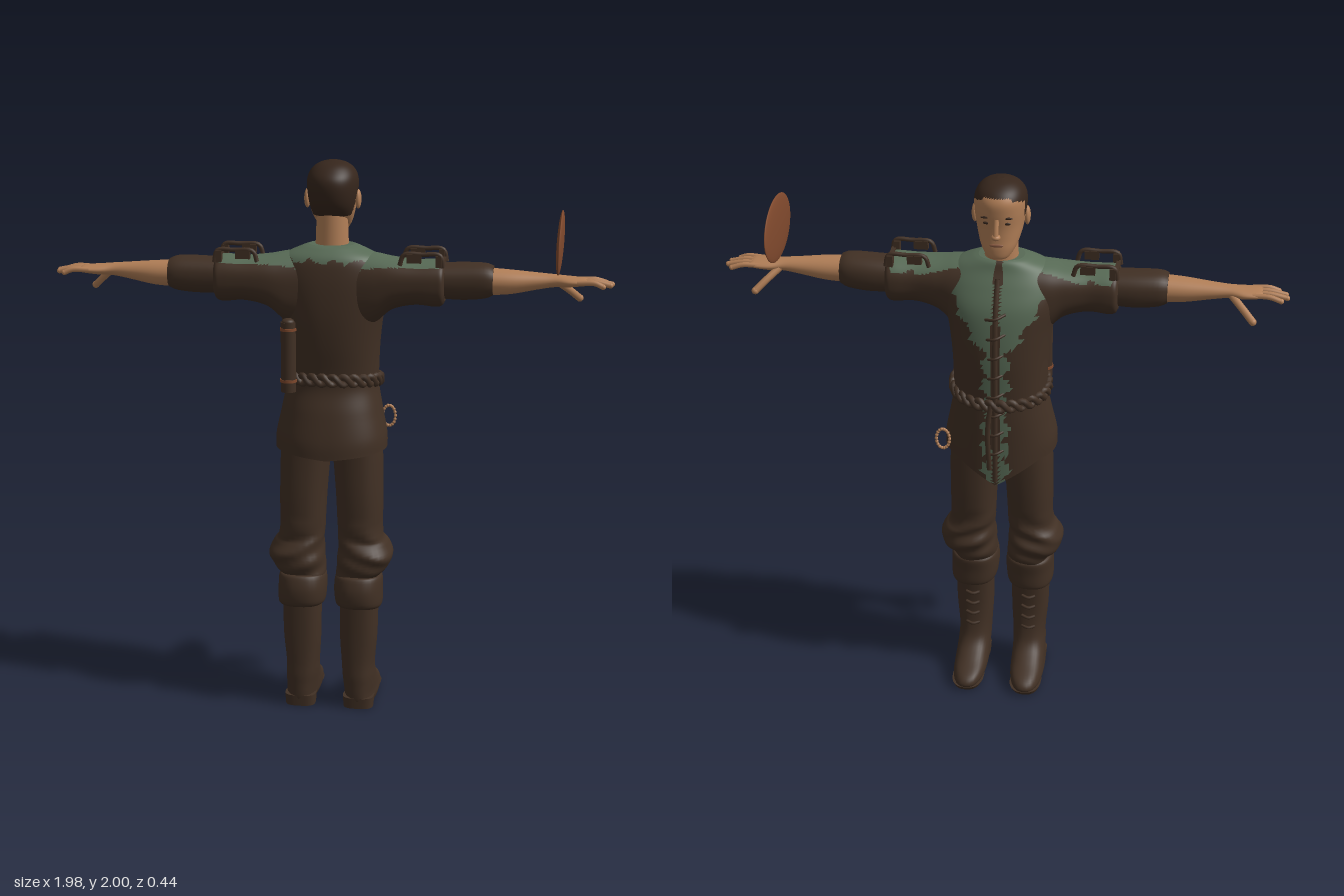
import * as THREE from 'three';

const mat = (name, color) => {
  const m = new THREE.MeshStandardMaterial({ color, side: THREE.DoubleSide });
  m.name = name;
  return m;
};

// Smooth interpolation between neighbouring cross-sections
const spline = (a, b, c, d, t) =>
  b + 0.5 * t * (c - a + t * (2 * a - 5 * b + 4 * c - d + t * (3 * (b - c) + d - a)));

// Skin over rounded sections [t, uMin, uMax, vMin, vMax].
// axis 'y': u = x, v = z.  axis 'x': u = z, v = y.
// warp moves vertices; paint picks a material index from a face centre.
function loft(axis, sections, { seg = 32, sub = 4, power = 2, warp, paint } = {}) {
  const rows = [], n = sections.length;
  for (let k = 0; k < n - 1; k++) {
    const at = (i) => sections[Math.min(n - 1, Math.max(0, i))];
    for (let s = 0; s < sub; s++)
      rows.push(at(k).map((_, i) => spline(at(k - 1)[i], at(k)[i], at(k + 1)[i], at(k + 2)[i], s / sub)));
  }
  rows.push(sections[n - 1]);
  const flat = ([t, a, b, c, d]) => [t, (a + b) / 2, (a + b) / 2, (c + d) / 2, (c + d) / 2];
  const first = rows[0], last = rows[rows.length - 1];
  rows.unshift(flat(first), first);
  rows.push(last, flat(last));

  const pts = [], p = new THREE.Vector3();
  const round = (v) => Math.sign(v) * Math.abs(v) ** (2 / power);
  for (const [t, u0, u1, v0, v1] of rows)
    for (let j = 0; j < seg; j++) {
      const a = (j / seg) * Math.PI * 2;
      const u = (u0 + u1) / 2 + ((u1 - u0) / 2) * round(Math.cos(a));
      const v = (v0 + v1) / 2 + ((v1 - v0) / 2) * round(Math.sin(a));
      if (axis === 'y') p.set(u, t, v); else p.set(t, v, u);
      if (warp) warp(p);
      pts.push(p.x, p.y, p.z);
    }
  const buckets = [[], []];
  for (let k = 0; k < rows.length - 1; k++) {
    if (k === 1 || k === rows.length - 3) continue; // doubled rims keep cap edges sharp
    for (let j = 0; j < seg; j++) {
      const a = k * seg + j, c = k * seg + ((j + 1) % seg), b = a + seg, d = c + seg;
      for (const tri of [[a, b, c], [b, d, c]]) {
        const mid = [0, 1, 2].map((i) => (pts[tri[0] * 3 + i] + pts[tri[1] * 3 + i] + pts[tri[2] * 3 + i]) / 3);
        buckets[paint ? paint(...mid) : 0].push(...tri);
      }
    }
  }
  const g = new THREE.BufferGeometry();
  g.setAttribute('position', new THREE.Float32BufferAttribute(pts, 3));
  g.setIndex([...buckets[0], ...buckets[1]]);
  g.addGroup(0, buckets[0].length, 0);
  g.addGroup(buckets[0].length, buckets[1].length, 1);
  g.computeVertexNormals();
  return g;
}

export function createModel() {
  const model = new THREE.Group();
  model.name = 'tunicFigure';
  const brown = mat('brown leather', 0x413024), green = mat('faded green cloth', 0x586b56);
  const skin = mat('skin', 0xb27f57), hair = mat('dark hair', 0x36261c);
  const copper = mat('copper', 0x80492d), lip = mat('lips', 0x8a5a42);

  const add = (parent, name, geo, material, pos = [0, 0, 0], scale = [1, 1, 1]) => {
    const m = new THREE.Mesh(geo, material);
    m.name = name;
    m.position.set(...pos);
    m.scale.set(...scale);
    parent.add(m);
    return m;
  };
  const tube = (pts, r, closed = false, n = 24) => new THREE.TubeGeometry(
    new THREE.CatmullRomCurve3(pts.map((q) => new THREE.Vector3(...q)), closed), n, r, 8, closed);
  const ball = new THREE.SphereGeometry(1, 24, 16);

  // Tunic body: jagged green yoke and a green strip down the chest (the chest faces -z)
  const jag = (v) => 0.012 * Math.sin(v * 75) + 0.006 * Math.sin(v * 170);
  const tunicPaint = (x, y, z) => {
    if (z > -0.01) return y > 1.662 + jag(x) * 0.6 ? 1 : 0;
    const w = y > 1.6 ? 0.22 : y > 1.42 ? 0.06 + (y - 1.42) * 0.6 : 0.042;
    return Math.abs(x) > 0.012 && Math.abs(x) < w + jag(y) ? 1 : 0;
  };
  add(model, 'tunic', loft('y', [
    [0.96, -0.2, 0.2, -0.165, 0.168], [1.02, -0.198, 0.198, -0.165, 0.163],
    [1.12, -0.18, 0.18, -0.165, 0.14], [1.2, -0.165, 0.165, -0.163, 0.115],
    [1.26, -0.165, 0.165, -0.165, 0.117], [1.36, -0.17, 0.17, -0.168, 0.13],
    [1.46, -0.182, 0.182, -0.163, 0.137], [1.55, -0.2, 0.2, -0.148, 0.135],
    [1.62, -0.2, 0.2, -0.115, 0.127], [1.67, -0.17, 0.17, -0.085, 0.113],
    [1.7, -0.11, 0.11, -0.072, 0.085], [1.71, -0.08, 0.08, -0.062, 0.065],
  ], {
    seg: 96, sub: 6, power: 2.3, paint: tunicPaint,
    warp: (p) => {
      const low = Math.max(0, (1.1 - p.y) / 0.14);
      const front = p.z < -0.08 ? Math.max(0, 1 - Math.abs(p.x) / 0.15) : 0;
      p.y += low * (0.02 * Math.abs(p.x) / 0.2 - 0.08 * front);
    },
  }), [brown, green]);

  // Front lacing
  add(model, 'placket', tube([[0, 1.66, -0.105], [0, 1.55, -0.152], [0, 1.4, -0.17],
    [0, 1.2, -0.168], [0, 1.02, -0.17], [0, 0.9, -0.168]], 0.009), brown);
  for (let i = 0; i < 8; i++) {
    const y = 1.54 - i * 0.075;
    add(model, 'lace', tube([[-0.035, y + 0.012, -0.155], [0, y, -0.178], [0.035, y - 0.012, -0.155]], 0.005, false, 8), brown);
  }

  // Braided belt, dipping to the front
  for (const phase of [0, Math.PI]) {
    const ring = Array.from({ length: 96 }, (_, i) => {
      const a = (i / 96) * Math.PI * 2, w = a * 14 + phase, r = 1 + 0.025 * Math.cos(w);
      return [0.17 * r * Math.cos(a), 1.222 + 0.02 * Math.sin(a) + 0.015 * Math.sin(w), -0.024 + 0.146 * r * Math.sin(a)];
    });
    add(model, 'beltStrand', tube(ring, 0.012, true, 192), brown);
  }
  add(model, 'beltEnd', tube([[0.015, 1.21, -0.175], [0.025, 1.1, -0.178], [0.02, 0.95, -0.172]], 0.009), brown);

  // Tube case on the back with copper bands
  const caseGroup = new THREE.Group();
  caseGroup.name = 'tubeCase';
  caseGroup.position.set(-0.14, 1.32, 0.105);
  model.add(caseGroup);
  add(caseGroup, 'caseBody', new THREE.CylinderGeometry(0.027, 0.027, 0.25, 20), brown);
  add(caseGroup, 'caseCap', ball, brown, [0, 0.125, 0], [0.024, 0.014, 0.024]);
  for (const y of [-0.085, 0.1])
    add(caseGroup, 'caseBand', new THREE.CylinderGeometry(0.03, 0.03, 0.01, 20), copper, [0, y, 0]);

  // Beaded loop at the hip
  const beads = new THREE.Group();
  beads.name = 'beadLoop';
  beads.position.set(0.188, 1.052, -0.155);
  model.add(beads);
  add(beads, 'loopCord', new THREE.TorusGeometry(0.036, 0.005, 8, 32), skin, [0, 0, 0], [0.65, 1.05, 1]);
  for (let i = 0; i < 18; i++) {
    const a = (i / 18) * Math.PI * 2;
    add(beads, 'bead', ball, skin, [0.0235 * Math.cos(a), 0.038 * Math.sin(a), 0], [0.006, 0.006, 0.006]);
  }

  // Lens-shaped disc above the left hand
  const disc = add(model, 'disc', new THREE.SphereGeometry(1, 48, 24), copper, [0.798, 1.738, 0.04], [0.012, 0.11, 0.18]);
  disc.rotation.z = -0.04;

  // Head with painted hairline
  const isHair = (x, y, z) => {
    if (y > 1.958) return 1;
    if (z > -0.035) return y > 1.81 && !(z < 0.0 && y < 1.875) ? 1 : 0;
    return y > 1.925 - (z + 0.035) * 0.3 && z > -0.11 || (z > -0.058 && y > 1.88) ? 1 : 0;
  };
  add(model, 'head', loft('y', [
    [1.735, -0.022, 0.022, -0.11, -0.07], [1.745, -0.04, 0.04, -0.126, -0.045],
    [1.775, -0.06, 0.06, -0.13, 0.0], [1.81, -0.073, 0.073, -0.128, 0.045],
    [1.85, -0.082, 0.082, -0.128, 0.077], [1.9, -0.089, 0.089, -0.133, 0.09],
    [1.94, -0.088, 0.088, -0.132, 0.086], [1.97, -0.074, 0.074, -0.113, 0.062],
    [1.99, -0.048, 0.048, -0.08, 0.03], [2.0, -0.012, 0.012, -0.04, -0.012],
  ], { seg: 64, sub: 6, power: 2.15, paint: isHair }), [skin, hair]);
  add(model, 'neck', new THREE.CylinderGeometry(0.054, 0.06, 0.16, 32), skin, [0, 1.75, -0.005]);
  add(model, 'noseBridge', tube([[0, 1.888, -0.128], [0, 1.855, -0.14], [0, 1.832, -0.147]], 0.009), skin);
  add(model, 'noseTip', ball, skin, [0, 1.829, -0.142], [0.016, 0.011, 0.016]);
  add(model, 'mouth', ball, lip, [0, 1.793, -0.128], [0.024, 0.006, 0.004]);
  for (const s of [-1, 1]) {
    add(model, 'ear', ball, skin, [s * 0.09, 1.865, -0.018], [0.011, 0.034, 0.02]);
    add(model, 'eye', ball, hair, [s * 0.034, 1.872, -0.122], [0.013, 0.005, 0.004]);
    add(model, 'eyebrow', ball, hair, [s * 0.035, 1.892, -0.1235], [0.02, 0.004, 0.004]);
  }

  // Arms and legs, built on +x and mirrored
  const sleevePaint = (x, y, z) => (y > 1.635 + jag(z + x) * 0.5 && x < 0.385 && z > -0.05 && z < 0.108 ? 1 : 0);
  for (const side of [1, -1]) {
    const half = new THREE.Group();
    half.name = side > 0 ? 'leftLimbs' : 'rightLimbs';
    half.scale.x = side;
    model.add(half);

    add(half, 'shoulderSleeve', loft('x', [
      [0.1, -0.1, 0.12, 1.42, 1.69], [0.16, -0.09, 0.127, 1.44, 1.682],
      [0.22, -0.072, 0.13, 1.49, 1.672], [0.3, -0.058, 0.13, 1.51, 1.665],
      [0.37, -0.06, 0.13, 1.505, 1.668], [0.395, -0.058, 0.128, 1.51, 1.665], [0.405, -0.045, 0.115, 1.525, 1.655],
    ], { seg: 72, sub: 6, power: 2.5, paint: sleevePaint }), [brown, green]);
    add(half, 'underSleeve', loft('x', [
      [0.36, -0.035, 0.105, 1.535, 1.655], [0.46, -0.037, 0.106, 1.53, 1.66],
      [0.54, -0.03, 0.106, 1.537, 1.66], [0.572, -0.018, 0.1, 1.55, 1.65],
    ], { power: 2.3 }), brown);
    add(half, 'forearm', loft('x', [
      [0.55, -0.012, 0.098, 1.55, 1.645], [0.63, -0.008, 0.092, 1.555, 1.64],
      [0.72, 0.0, 0.075, 1.572, 1.632], [0.78, 0.003, 0.068, 1.582, 1.627],
      [0.83, -0.008, 0.08, 1.584, 1.622], [0.88, -0.008, 0.084, 1.59, 1.618], [0.895, -0.002, 0.078, 1.593, 1.614],
    ]), skin);

    // Fingers and thumb
    [0.955, 0.98, 0.985, 0.965].forEach((tip, i) => {
      const z = 0.075 - i * 0.024, out = 0.082 - i * 0.029;
      add(half, 'finger', tube([[0.86, 1.605, z], [0.92, 1.606, (z + out) / 2], [tip - 0.006, 1.595, out]], 0.0095, false, 10), skin);
      add(half, 'fingertip', ball, skin, [tip - 0.006, 1.595, out], [0.0095, 0.0095, 0.0095]);
    });
    add(half, 'thumb', tube([[0.79, 1.598, 0.015], [0.83, 1.565, -0.018], [0.868, 1.53, -0.045]], 0.013, false, 10), skin);
    add(half, 'thumbTip', ball, skin, [0.868, 1.53, -0.045], [0.013, 0.013, 0.013]);

    // Shoulder straps with buckles
    for (const z of [0.1, -0.03]) {
      add(half, 'shoulderStrap', tube([[0.25, 1.655, z], [0.265, 1.692, z], [0.33, 1.695, z], [0.39, 1.692, z], [0.402, 1.65, z]], 0.008), brown);
      add(half, 'strapKnot', new THREE.BoxGeometry(0.05, 0.03, 0.022), brown, [0.3, 1.68, z]);
      add(half, 'strapBuckle', new THREE.BoxGeometry(0.02, 0.04, 0.03), brown, [0.385, 1.672, z]);
    }
    add(half, 'sleeveRim', new THREE.BoxGeometry(0.015, 0.014, 0.13), brown, [0.395, 1.662, 0.035]);

    add(half, 'trouserLeg', loft('y', [
      [0.47, 0.03, 0.17, -0.06, 0.1], [0.5, 0.02, 0.175, -0.07, 0.11],
      [0.535, 0.022, 0.208, -0.085, 0.122], [0.58, 0.025, 0.226, -0.098, 0.13],
      [0.62, 0.028, 0.21, -0.092, 0.115], [0.66, 0.025, 0.188, -0.088, 0.108],
      [0.8, 0.018, 0.187, -0.098, 0.108], [0.95, 0.006, 0.184, -0.102, 0.102], [1.05, 0.0, 0.175, -0.1, 0.1],
    ], {
      sub: 5, power: 2.4,
      warp: (p) => { if (p.y < 0.7) p.z += 0.006 * Math.sin(p.y * 90 + p.x * 30); },
    }), brown);
    add(half, 'bootCuff', loft('y', [
      [0.385, 0.03, 0.185, -0.06, 0.115], [0.4, 0.02, 0.19, -0.068, 0.135],
      [0.45, 0.015, 0.19, -0.07, 0.138], [0.495, 0.018, 0.188, -0.074, 0.125], [0.505, 0.03, 0.178, -0.065, 0.112],
    ], { power: 2.4, warp: (p) => { p.y += 0.06 * (p.z - 0.03); } }), brown);
    add(half, 'boot', loft('y', [
      [0.012, 0.055, 0.165, -0.205, 0.1], [0.03, 0.047, 0.17, -0.216, 0.106],
      [0.055, 0.045, 0.168, -0.195, 0.108], [0.085, 0.045, 0.166, -0.125, 0.108],
      [0.12, 0.044, 0.164, -0.07, 0.108], [0.17, 0.042, 0.163, -0.045, 0.105],
      [0.27, 0.036, 0.172, -0.034, 0.103], [0.4, 0.035, 0.175, -0.04, 0.102],
    ], { sub: 5, power: 2.4 }), brown);
    add(half, 'bootHeel', loft('y', [[0, 0.053, 0.162, 0.015, 0.104], [0.04, 0.05, 0.165, 0.01, 0.106]], { power: 3 }), brown);
    add(half, 'bootSole', loft('y', [[0.004, 0.058, 0.162, -0.205, -0.05], [0.02, 0.05, 0.168, -0.215, -0.04]], { power: 2.4 }), brown);
    for (let i = 0; i < 4; i++)
      add(half, 'bootLace', tube([[0.08, 0.2 + i * 0.045, -0.034], [0.105, 0.195 + i * 0.045, -0.042], [0.13, 0.2 + i * 0.045, -0.034]], 0.006, false, 8), brown);
  }
  return model;
}
